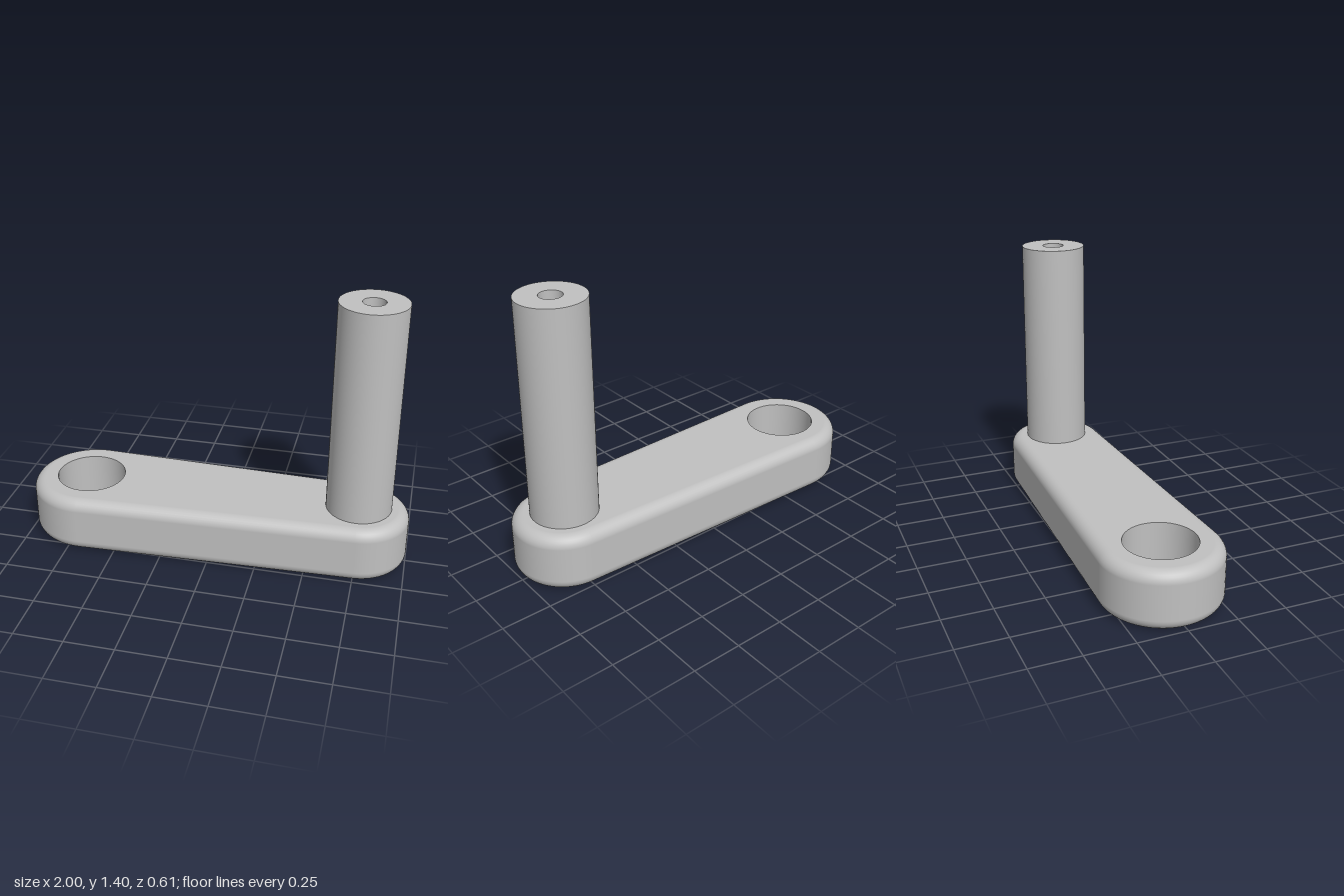
import * as THREE from 'three';

const H = 0.3, FILLET = 0.06;
const BIG = { x: -0.695, r: 0.305 }, SMALL = { x: 0.745, r: 0.255 };
const HOLE_R = 0.18, PIN_X = 0.742, PIN_R = 0.168, PIN_TOP = 1.405;
const BORE_R = 0.056, BORE_FLOOR = 1.0;

// Tapered outline: two arcs joined by tangent lines, with the normal of each point
function outline(inset) {
  const t = Math.acos((BIG.r - SMALL.r) / (SMALL.x - BIG.x));
  const pts = [];
  const arc = (end, from, to, n) => {
    for (let i = 0; i <= n; i++) {
      const a = from + ((to - from) * i) / n, nx = Math.cos(a), nz = Math.sin(a);
      pts.push({ x: end.x + (end.r - inset) * nx, z: (end.r - inset) * nz, nx, nz });
    }
  };
  arc(SMALL, -t, t, 40);
  arc(BIG, t, 2 * Math.PI - t, 40);
  return pts;
}

// Side wall of the arm with rounded upper and lower edges
function armSide() {
  const steps = 8, rings = [];
  for (const [y, start] of [[FILLET, -Math.PI / 2], [H - FILLET, 0]]) {
    for (let i = 0; i <= steps; i++) {
      const a = start + (i / steps) * Math.PI / 2;
      rings.push({ y: y + FILLET * Math.sin(a), out: Math.cos(a), up: Math.sin(a) });
    }
  }
  const core = outline(FILLET), n = core.length;
  const pos = [], nor = [], idx = [];
  rings.forEach((ring, i) => core.forEach((p, j) => {
    pos.push(p.x + FILLET * ring.out * p.nx, ring.y, p.z + FILLET * ring.out * p.nz);
    nor.push(ring.out * p.nx, ring.up, ring.out * p.nz);
    if (i === rings.length - 1) return;
    const a = i * n + j, b = i * n + ((j + 1) % n);
    idx.push(a, a + n, b, b, a + n, b + n);
  }));
  const g = new THREE.BufferGeometry();
  g.setAttribute('position', new THREE.Float32BufferAttribute(pos, 3));
  g.setAttribute('normal', new THREE.Float32BufferAttribute(nor, 3));
  g.setIndex(idx);
  return g;
}

// Flat face of the arm with the shaft hole cut through
function armFace() {
  const shape = new THREE.Shape(outline(FILLET).map(p => new THREE.Vector2(p.x, p.z)));
  shape.holes.push(new THREE.Path().absarc(BIG.x, 0, HOLE_R, 0, Math.PI * 2, true));
  return new THREE.ShapeGeometry(shape, 32);
}

export function createModel() {
  const model = new THREE.Group();
  const metal = new THREE.MeshStandardMaterial({ color: 0xc0c0c0 });
  metal.name = 'grey metal';

  const add = (parent, name, geometry, x = 0) => {
    const mesh = new THREE.Mesh(geometry, metal);
    mesh.name = name;
    mesh.position.x = x;
    parent.add(mesh);
  };
  // One sharp-edged band of revolution between two profile points
  const band = (r0, y0, r1, y1) =>
    new THREE.LatheGeometry([new THREE.Vector2(r0, y0), new THREE.Vector2(r1, y1)], 64);

  // Crank arm
  const arm = new THREE.Group();
  arm.name = 'crankArm';
  add(arm, 'armSide', armSide());
  add(arm, 'armTop', armFace().rotateX(-Math.PI / 2).translate(0, H, 0));
  add(arm, 'armBottom', armFace().rotateX(Math.PI / 2));
  add(arm, 'shaftHole', band(HOLE_R, H, HOLE_R, 0), BIG.x);

  // Handle pin with a blind bore in its end
  const pin = new THREE.Group();
  pin.name = 'handlePin';
  add(pin, 'pinSide', band(PIN_R, H - 0.01, PIN_R, PIN_TOP), PIN_X);
  add(pin, 'pinEnd', band(PIN_R, PIN_TOP, BORE_R, PIN_TOP), PIN_X);
  add(pin, 'boreWall', band(BORE_R, PIN_TOP, BORE_R, BORE_FLOOR), PIN_X);
  add(pin, 'boreFloor', band(BORE_R, BORE_FLOOR, 0, BORE_FLOOR), PIN_X);

  model.add(arm, pin);
  return model;
}
